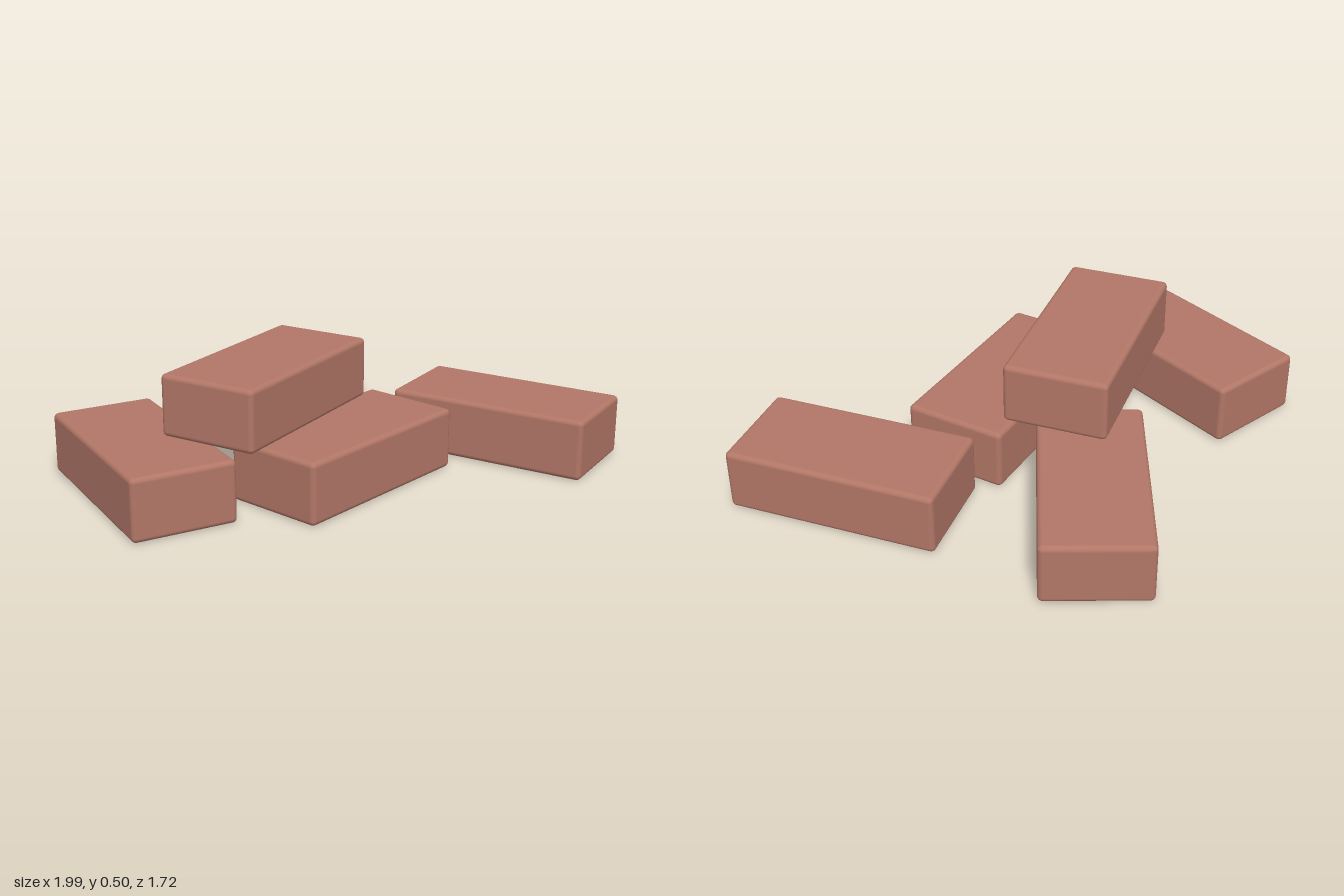
import * as THREE from 'three';
import { RoundedBoxGeometry } from 'three/addons/geometries/RoundedBoxGeometry.js';

const LENGTH = 0.85, HEIGHT = 0.251, WIDTH = 0.42, BEVEL = 0.02;

export function createModel() {
  const group = new THREE.Group();
  group.name = 'brickPile';

  const clay = new THREE.MeshStandardMaterial({ color: 0xb27767 });
  clay.name = 'clay red';

  const geometry = new RoundedBoxGeometry(LENGTH, HEIGHT, WIDTH, 3, BEVEL);

  // name, centre x, centre z, layer, turn about y in degrees
  const bricks = [
    ['frontBrick', -0.035, 0.153, 0, 0],
    ['leftBrick', 0.718, 0.405, 0, -80],
    ['rightBrick', -0.66, -0.35, 0, 70],
    ['backBrick', 0.418, -0.478, 0, 30],
    ['topBrick', -0.16, -0.147, 1, 10],
  ];

  for (const [name, x, z, layer, turn] of bricks) {
    const brick = new THREE.Mesh(geometry, clay);
    brick.name = name;
    brick.position.set(x, HEIGHT * (layer + 0.5), z);
    brick.rotation.y = THREE.MathUtils.degToRad(turn);
    group.add(brick);
  }
  return group;
}
